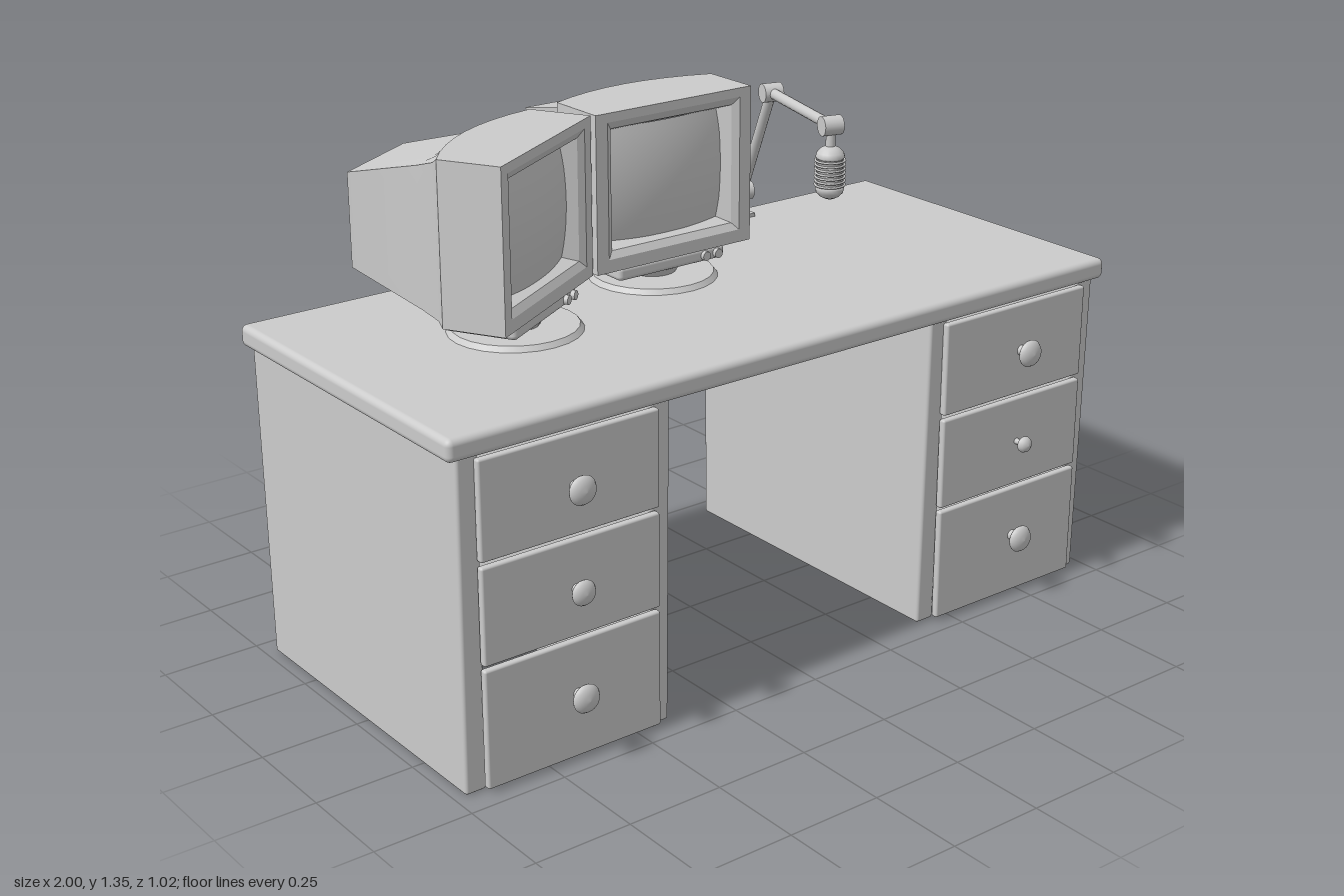
import * as THREE from 'three';
import { toCreasedNormals } from 'three/addons/utils/BufferGeometryUtils.js';
import { RoundedBoxGeometry } from 'three/addons/geometries/RoundedBoxGeometry.js';

const grey = new THREE.MeshStandardMaterial({ color: 0xcccccc });
const greyDouble = new THREE.MeshStandardMaterial({ color: 0xcccccc, side: THREE.DoubleSide });

function add(parent, name, geometry, x = 0, y = 0, z = 0, material = grey) {
  const mesh = new THREE.Mesh(geometry, material);
  mesh.name = name;
  mesh.position.set(x, y, z);
  parent.add(mesh);
  return mesh;
}

// Cylinder between two points
function rod(parent, name, a, b, r, sides = 14) {
  const dir = b.clone().sub(a);
  const mesh = add(parent, name, new THREE.CylinderGeometry(r, r, dir.length(), sides));
  mesh.position.copy(a).addScaledVector(dir, 0.5);
  mesh.quaternion.setFromUnitVectors(new THREE.Vector3(0, 1, 0), dir.normalize());
  return mesh;
}

// Skin over rectangular sections listed back to front; bulge pushes the middle of the top and bottom edges back
function loftRects(sections, n = 8) {
  const unit = [];
  for (let s = 0; s < 4; s++) {
    for (let i = 0; i < n; i++) {
      const t = -1 + (2 * i) / n;
      unit.push([[1, t], [-t, 1], [-1, -t], [t, -1]][s]);
    }
  }
  const rings = sections.map(({ hx, y0, y1, z, bulge = 0 }) =>
    unit.map(([u, v]) => [u * hx, (y0 + y1) / 2 + (v * (y1 - y0)) / 2, z - bulge * (1 - u * u)]));
  const pos = [];
  const m = unit.length;
  for (let k = 0; k < rings.length - 1; k++) {
    for (let i = 0; i < m; i++) {
      const j = (i + 1) % m;
      const [a, b, c, d] = [rings[k][i], rings[k][j], rings[k + 1][j], rings[k + 1][i]];
      pos.push(...a, ...b, ...c, ...a, ...c, ...d);
    }
  }
  const s = sections[0];
  for (let i = 0; i < m; i++) {
    pos.push(0, (s.y0 + s.y1) / 2, s.z, ...rings[0][(i + 1) % m], ...rings[0][i]);
  }
  const geo = new THREE.BufferGeometry();
  geo.setAttribute('position', new THREE.Float32BufferAttribute(pos, 3));
  return toCreasedNormals(geo, 0.45);
}

// Monitor with its front face on local z = 0 and heights in model units
function makeMonitor(name) {
  const g = new THREE.Group();
  g.name = name;
  add(g, 'monitorCase', loftRects([
    { hx: 0.135, y0: 1.025, y1: 1.257, z: -0.45 },
    { hx: 0.165, y0: 0.955, y1: 1.303, z: -0.25 },
    { hx: 0.2, y0: 0.947, y1: 1.325, z: -0.19, bulge: 0.04 },
    { hx: 0.238, y0: 0.945, y1: 1.345, z: -0.16, bulge: 0.05 },
    { hx: 0.238, y0: 0.945, y1: 1.345, z: 0 },
    { hx: 0.203, y0: 0.978, y1: 1.322, z: 0 },
    { hx: 0.186, y0: 0.996, y1: 1.302, z: -0.012 },
    { hx: 0.165, y0: 1.008, y1: 1.288, z: -0.05 },
  ]));

  // Bulging glass
  const screen = new THREE.PlaneGeometry(0.34, 0.29, 16, 14);
  const p = screen.attributes.position;
  for (let i = 0; i < p.count; i++) {
    const u = p.getX(i) / 0.17, v = p.getY(i) / 0.145;
    p.setZ(i, 0.034 * (1 - 0.55 * u * u - 0.45 * v * v));
  }
  screen.computeVertexNormals();
  add(g, 'screen', screen, 0, 1.148, -0.051);

  // Swivel stand with two control knobs
  add(g, 'standDisc', new THREE.CylinderGeometry(0.155, 0.165, 0.013, 24), 0, 0.8815, -0.095);
  add(g, 'standNeck', new THREE.CylinderGeometry(0.075, 0.055, 0.03, 20), 0, 0.898, -0.095);
  add(g, 'standCradle', new RoundedBoxGeometry(0.33, 0.037, 0.19, 3, 0.012), 0, 0.928, -0.105);
  for (const x of [0.1, 0.138]) {
    const knob = add(g, 'controlKnob', new THREE.CylinderGeometry(0.012, 0.012, 0.014, 12), x, 0.927, -0.006);
    knob.rotation.x = Math.PI / 2;
  }
  return g;
}

function makeDesk() {
  const desk = new THREE.Group();
  desk.name = 'desk';
  add(desk, 'deskTop', new RoundedBoxGeometry(2, 0.055, 0.922, 3, 0.016), 0, 0.8475, -0.003);

  // Knob profile turned around the z axis
  const knobGeo = new THREE.LatheGeometry([
    [0.014, 0], [0.011, 0.02], [0.02, 0.024], [0.034, 0.03], [0.036, 0.036], [0.03, 0.045], [0.016, 0.051], [0, 0.053],
  ].map(([x, y]) => new THREE.Vector2(x, y)), 24);
  knobGeo.rotateX(Math.PI / 2);

  for (const side of [-1, 1]) {
    const pedestal = new THREE.Group();
    pedestal.name = side < 0 ? 'rightPedestal' : 'leftPedestal';
    desk.add(pedestal);
    for (const x of [0.43, 0.944]) {
      // Side panels narrow slightly toward the floor
      const geo = new RoundedBoxGeometry(0.056, 0.825, 0.902, 2, 0.008);
      const p = geo.attributes.position;
      for (let i = 0; i < p.count; i++) {
        const y = p.getY(i) / 0.825 + 0.5;
        p.setZ(i, p.getZ(i) * (0.977 + 0.023 * y));
      }
      add(pedestal, 'sidePanel', geo, side * x, 0.4125, -0.008);
    }
    [[0.012, 0.31, 0.175], [0.32, 0.56, 0.44], [0.572, 0.815, 0.69]].forEach(([y0, y1, ky], i) => {
      add(pedestal, 'drawerFront', new RoundedBoxGeometry(0.484, y1 - y0, 0.02, 2, 0.006),
        side * 0.686, (y0 + y1) / 2, 0.45);
      const knob = add(pedestal, 'drawerKnob', knobGeo, side < 0 ? -0.68 : 0.705, ky, 0.457);
      const size = i === 1 ? (side < 0 ? 0.88 : 0.6) : 1;
      knob.scale.set(size, size, i === 1 ? 0.92 : 1);
    });
  }
  return desk;
}

function makeMicrophone() {
  const g = new THREE.Group();
  g.name = 'microphoneArm';
  const V = (x, y, z) => new THREE.Vector3(x, y, z);
  const base = V(0.49, 0.948, -0.4), elbow = V(0.45, 1.26, -0.235), tip = V(0.355, 1.26, 0.11);

  // Clamp gripping the rear edge
  add(g, 'clampTop', new THREE.BoxGeometry(0.05, 0.01, 0.09), 0.493, 0.88, -0.423);
  add(g, 'clampBack', new THREE.BoxGeometry(0.05, 0.075, 0.01), 0.493, 0.848, -0.468);
  add(g, 'clampBottom', new THREE.BoxGeometry(0.05, 0.01, 0.06), 0.493, 0.813, -0.443);
  rod(g, 'post', V(0.49, 0.88, -0.4), base, 0.018);

  // Arms and hinge joints
  rod(g, 'lowerArm', base, elbow, 0.014);
  rod(g, 'upperArm', elbow, tip, 0.014);
  const axis = V(0.96, 0, 0.265).multiplyScalar(0.026);
  for (const c of [base, elbow, tip]) {
    rod(g, 'joint', c.clone().sub(axis), c.clone().add(axis), 0.025, 16);
  }
  rod(g, 'microphoneStem', tip, V(0.355, 1.19, 0.11), 0.012);

  // Capsule: two caps, a slim core and grille rings
  const cap = new THREE.LatheGeometry([
    [0, 0], [0.034, 0], [0.037, 0.005], [0.034, 0.016], [0.024, 0.026], [0.012, 0.032], [0, 0.033],
  ].map(([x, y]) => new THREE.Vector2(x, y)), 20);
  add(g, 'microphoneTopCap', cap, 0.355, 1.176, 0.11, greyDouble);
  add(g, 'microphoneBottomCap', cap, 0.355, 1.105, 0.11, greyDouble).rotation.x = Math.PI;
  add(g, 'microphoneCore', new THREE.CylinderGeometry(0.032, 0.032, 0.075, 20), 0.355, 1.14, 0.11);
  for (let i = 0; i < 7; i++) {
    const ring = add(g, 'grilleRing', new THREE.TorusGeometry(0.037, 0.0032, 6, 24), 0.355, 1.109 + i * 0.0105, 0.11);
    ring.rotation.x = Math.PI / 2;
  }
  return g;
}

export function createModel() {
  const model = new THREE.Group();
  model.name = 'deskWithMonitors';
  const centre = makeMonitor('centreMonitor');
  centre.position.set(0, 0, -0.06);
  const angled = makeMonitor('angledMonitor');
  angled.position.set(-0.452, 0, 0.05);
  angled.rotation.y = Math.PI / 6;
  model.add(makeDesk(), centre, angled, makeMicrophone());
  return model;
}
